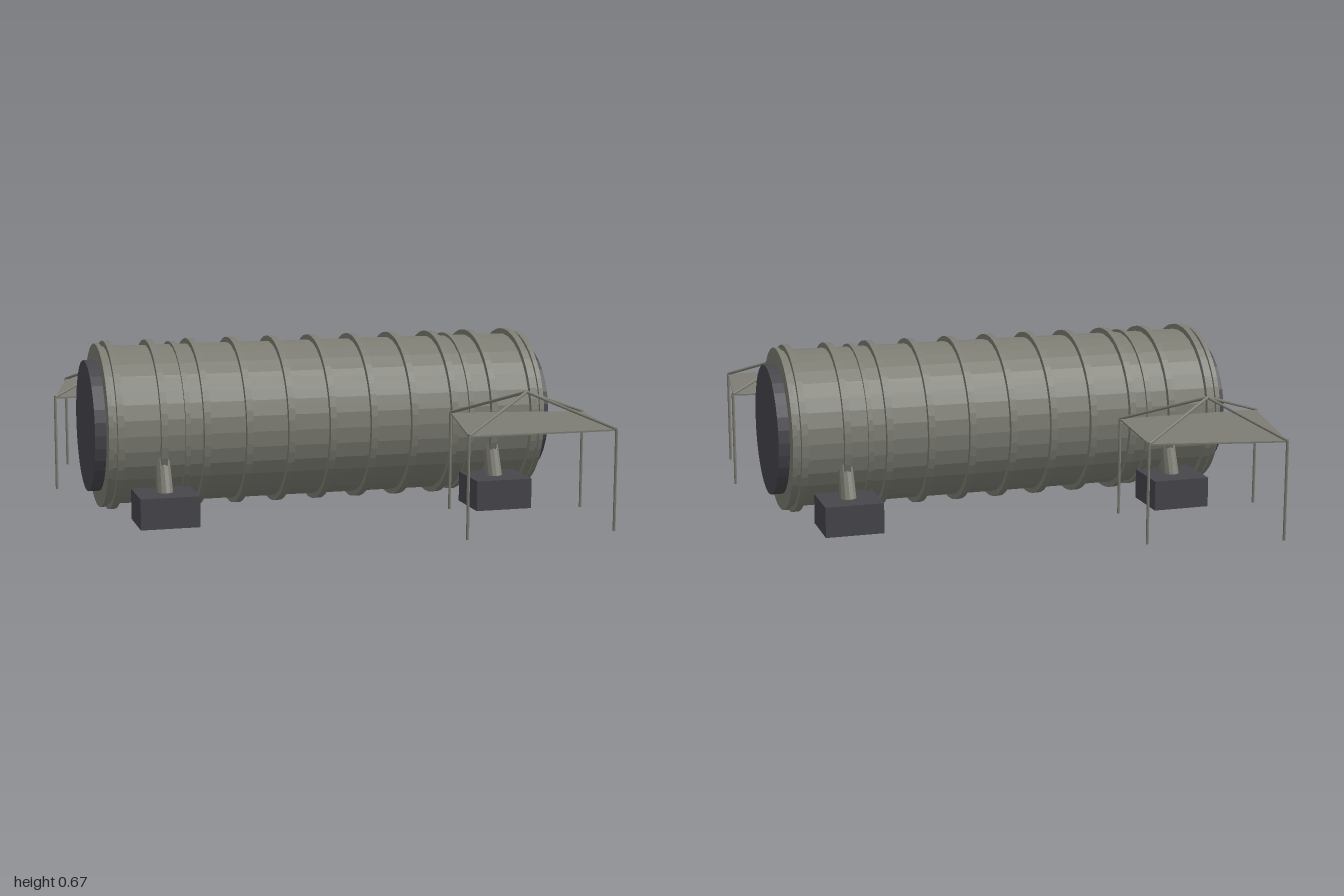
import * as THREE from 'three';

const TANK_Y = 0.337, TANK_Z = 0.034;

export function createModel() {
  const model = new THREE.Group();
  model.name = 'storageTank';

  const steel = new THREE.MeshStandardMaterial({ color: 0x7d7d74, flatShading: true });
  steel.name = 'olive grey steel';
  const dark = new THREE.MeshStandardMaterial({ color: 0x47464c, flatShading: true });
  dark.name = 'dark grey';
  const canvas = new THREE.MeshStandardMaterial({ color: 0x7d7d74, side: THREE.DoubleSide });
  canvas.name = 'canopy cloth';

  const add = (parent, name, geometry, material, x = 0, y = 0, z = 0) => {
    const mesh = new THREE.Mesh(geometry, material);
    mesh.name = name;
    mesh.position.set(x, y, z);
    parent.add(mesh);
    return mesh;
  };

  // Rod between two points, optionally tapered
  const rod = (parent, name, a, b, r0, r1, sides, material) => {
    const dir = b.clone().sub(a);
    const mesh = add(parent, name, new THREE.CylinderGeometry(r1, r0, dir.length(), sides), material);
    mesh.position.copy(a).add(b).multiplyScalar(0.5);
    mesh.quaternion.setFromUnitVectors(new THREE.Vector3(0, 1, 0), dir.normalize());
    return mesh;
  };

  // Horizontal tank lying along x
  const tank = new THREE.Group();
  tank.name = 'tank';
  tank.position.set(0, TANK_Y, TANK_Z);
  model.add(tank);
  const drum = (name, radius, length, x, material, sides = 32) => {
    const g = new THREE.CylinderGeometry(radius, radius, length, sides).rotateZ(Math.PI / 2);
    return add(tank, name, g, material, x);
  };
  drum('shell', 0.314, 1.74, 0, steel);

  // Evenly spaced wide hoops
  for (let i = -5; i <= 5; i++) drum('hoop', 0.335, 0.026, i * 0.168, steel, 48);

  // Thinner hoops, end flanges and end caps
  for (const s of [-1, 1]) {
    drum('thinHoop', 0.325, 0.02, s * 0.578, steel, 48);
    drum('endFlange', 0.325, 0.018, s * 0.877, steel, 48);
    drum('endCap', 0.26, 0.06, s * 0.9, dark, 32);
  }

  // Four footings, each with a leaning strut
  for (const x of [-0.674, 0.674]) {
    for (const s of [-1, 1]) {
      add(model, 'footing', new THREE.BoxGeometry(0.23, 0.12, 0.215), dark, x, 0.06, TANK_Z + s * 0.335);
      rod(model, 'strut',
        new THREE.Vector3(x, 0.09, TANK_Z + s * 0.332),
        new THREE.Vector3(x, 0.255, TANK_Z + s * 0.272), 0.034, 0.029, 12, steel);
    }
  }

  // Canopy: flat cloth on four posts with bars rising to a peak
  const corners = [[0.47, 0.403], [0.988, 0.505], [0.94, 0.94], [0.353, 0.94]];
  const EAVE = 0.39;
  const makeCanopy = (name, dx, dz) => {
    const canopy = new THREE.Group();
    canopy.name = name;
    canopy.position.set(dx, 0, dz);
    model.add(canopy);

    const outline = new THREE.Shape(corners.map(([x, z]) => new THREE.Vector2(x, -z)));
    const cloth = new THREE.ExtrudeGeometry(outline, { depth: 0.006, bevelEnabled: false });
    cloth.rotateX(-Math.PI / 2);
    add(canopy, 'cloth', cloth, canvas, 0, EAVE - 0.007, 0);

    const peak = new THREE.Vector3(0.67, 0.507, 0.703);
    for (const [x, z] of corners) {
      const top = new THREE.Vector3(x, EAVE, z);
      rod(canopy, 'post', new THREE.Vector3(x, 0, z), top, 0.006, 0.006, 8, steel);
      rod(canopy, 'roofBar', top, peak, 0.006, 0.006, 8, steel);
    }
  };
  makeCanopy('frontCanopy', 0, 0);
  makeCanopy('backCanopy', -1.345, -1.345);

  return model;
}
